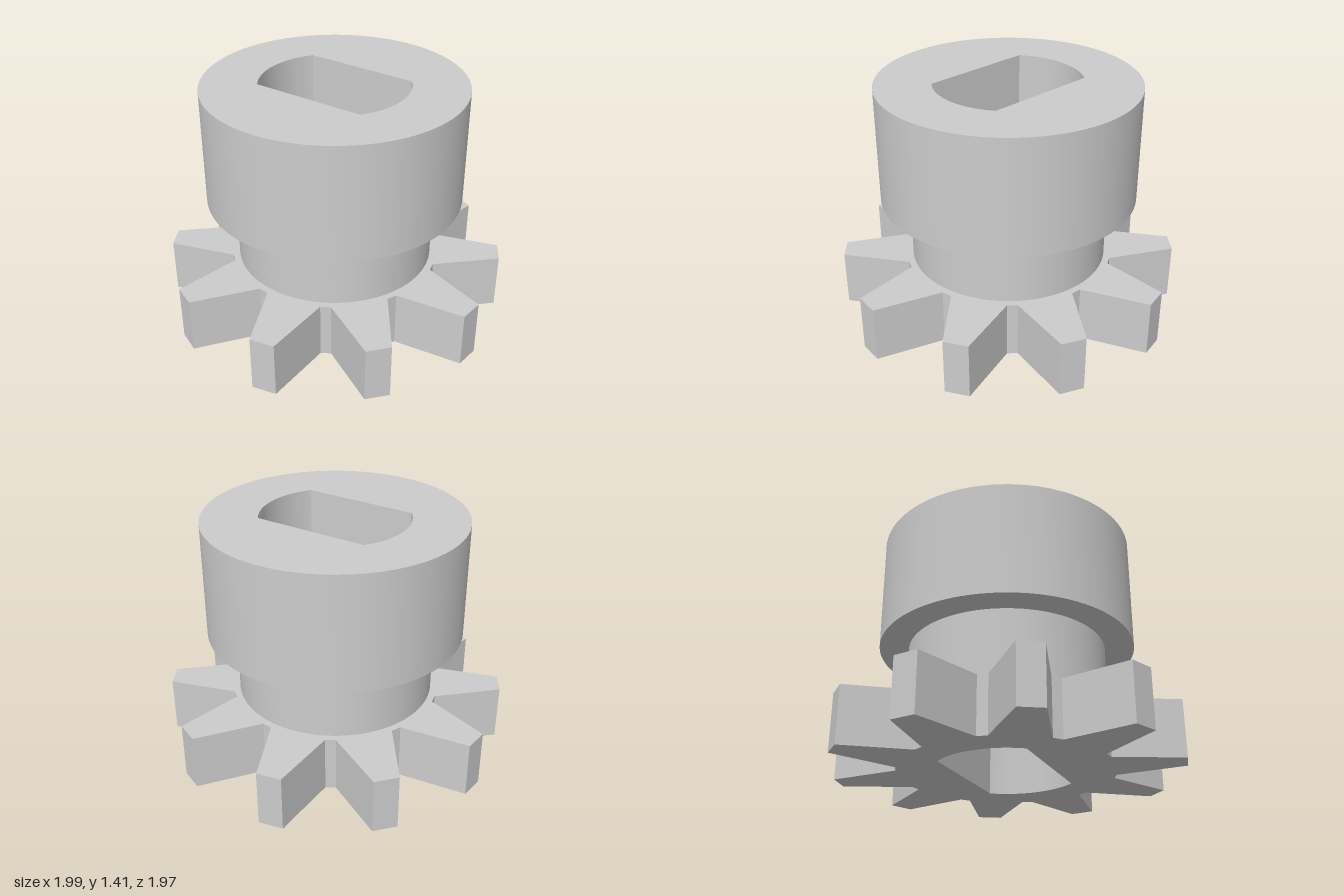
import * as THREE from 'three';
import { toCreasedNormals } from 'three/addons/utils/BufferGeometryUtils.js';

const TEETH = 10;
const FIRST_TOOTH = THREE.MathUtils.degToRad(-5.8);
const BORE_RADIUS = 0.427;
const BORE_HALF_HEIGHT = 0.26;

// Round bore with two parallel flats
function borePath() {
  const a = Math.asin(BORE_HALF_HEIGHT / BORE_RADIUS);
  const path = new THREE.Path();
  path.absarc(0, 0, BORE_RADIUS, -a, a, false);
  path.absarc(0, 0, BORE_RADIUS, Math.PI - a, Math.PI + a, false);
  path.closePath();
  return path;
}

// Gear outline: each tooth has two root corners and two tip corners
function gearShape() {
  const corners = [[0.62, -15.23], [0.997, -4.1], [0.997, 4.1], [0.62, 15.23]];
  const points = [];
  for (let i = 0; i < TEETH; i++) {
    const centre = FIRST_TOOTH + (i * 2 * Math.PI) / TEETH;
    for (const [r, deg] of corners) {
      const a = centre + THREE.MathUtils.degToRad(deg);
      points.push(new THREE.Vector2(r * Math.cos(a), r * Math.sin(a)));
    }
  }
  return new THREE.Shape(points);
}

function discShape(radius) {
  const shape = new THREE.Shape();
  shape.absarc(0, 0, radius, 0, Math.PI * 2, false);
  return shape;
}

// Extrudes a bored outline upwards between two heights
function boredLayer(name, shape, bottom, top, material) {
  shape.holes.push(borePath());
  const extruded = new THREE.ExtrudeGeometry(shape, {
    depth: top - bottom, bevelEnabled: false, curveSegments: 72,
  });
  extruded.rotateX(-Math.PI / 2);
  extruded.translate(0, bottom, 0);
  const mesh = new THREE.Mesh(toCreasedNormals(extruded, 0.4), material);
  mesh.name = name;
  return mesh;
}

export function createModel() {
  const grey = new THREE.MeshStandardMaterial({ color: 0xcccccc });
  grey.name = 'lightGrey';

  const group = new THREE.Group();
  group.name = 'gearWithHub';
  group.add(
    boredLayer('gear', gearShape(), 0, 0.335, grey),
    boredLayer('neck', discShape(0.58), 0.335, 0.73, grey),
    boredLayer('collar', discShape(0.75), 0.73, 1.41, grey),
  );
  return group;
}
